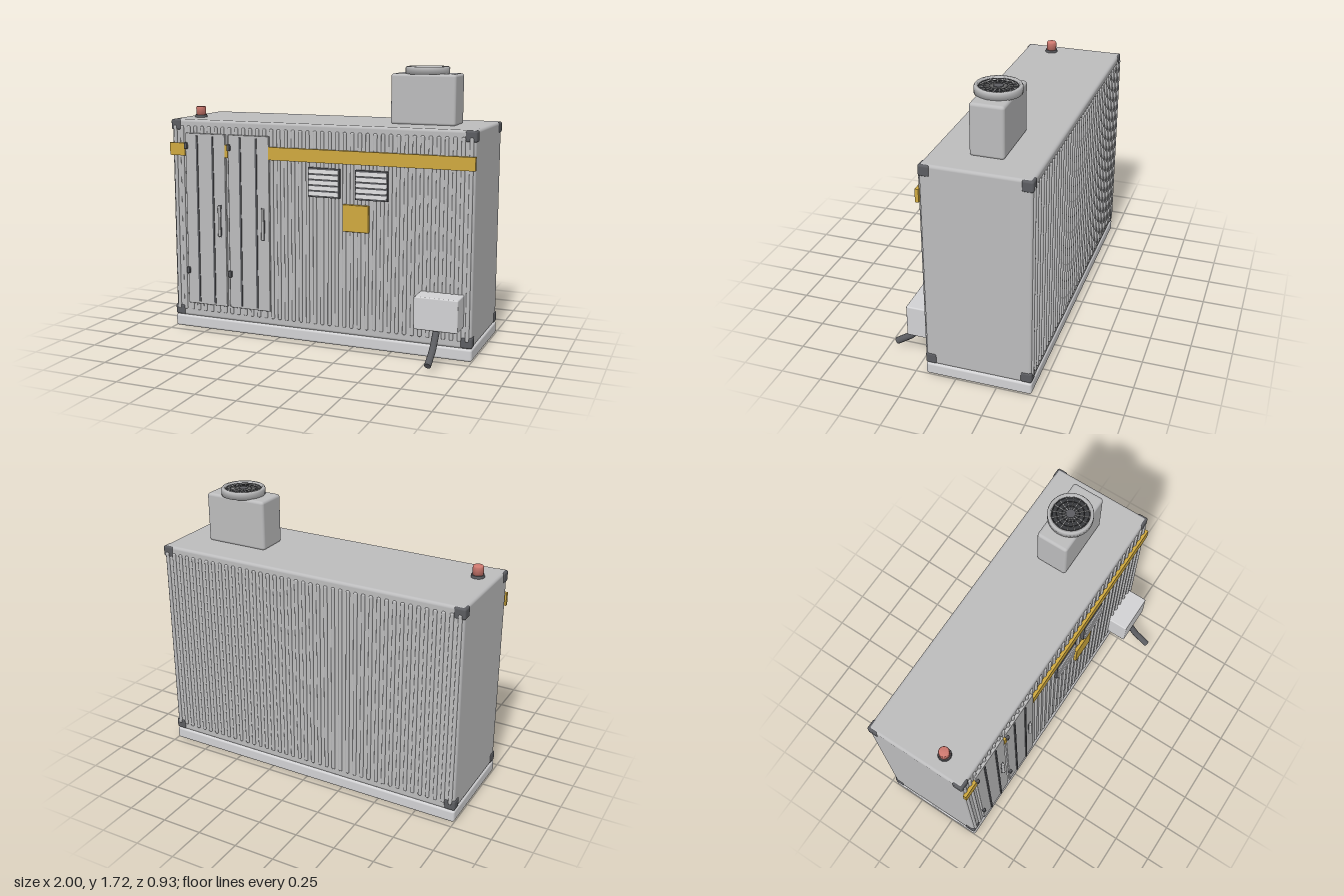
import * as THREE from 'three';
import { RoundedBoxGeometry } from 'three/addons/geometries/RoundedBoxGeometry.js';

const mat = (name, color) => {
  const m = new THREE.MeshStandardMaterial({ color });
  m.name = name;
  return m;
};

export function createModel() {
  const root = new THREE.Group();
  root.name = 'containerUnit';
  const grey = mat('painted grey', 0xbcbcbd);
  const light = mat('light grey', 0xd2d2d4);
  const dark = mat('dark steel', 0x5c5d61);
  const black = mat('grille black', 0x38393c);
  const gold = mat('safety yellow', 0xd0a93f);
  const red = mat('beacon red', 0xd07a70);

  const add = (name, geo, material, parent = root) => {
    const m = new THREE.Mesh(geo, material);
    m.name = name;
    parent.add(m);
    return m;
  };
  // Box given by its limits on each axis, with rounded edges when r > 0
  const block = (name, [x0, x1], [y0, y1], [z0, z1], material, r = 0, parent = root) => {
    const s = [x1 - x0, y1 - y0, z1 - z0];
    const geo = r ? new RoundedBoxGeometry(...s, 3, r) : new THREE.BoxGeometry(...s);
    const m = add(name, geo, material, parent);
    m.position.set((x0 + x1) / 2, (y0 + y1) / 2, (z0 + z1) / 2);
    return m;
  };
  const group = (name) => {
    const g = new THREE.Group();
    g.name = name;
    root.add(g);
    return g;
  };

  // Plinth and main shell
  block('plinth', [-1, 1], [0, 0.078], [-0.46, 0.185], light, 0.015);
  block('shell', [-0.995, 0.995], [0.075, 1.37], [-0.456, 0.18], grey, 0.018);

  // Corner fittings
  const corners = group('cornerFittings');
  for (const sx of [-1, 1])
    for (const y of [0.08, 1.301])
      for (const z of [-0.46, 0.118])
        block('cornerFitting', sx < 0 ? [-1, -0.93] : [0.93, 1], [y, y + 0.067], [z, z + 0.067], dark, 0.012, corners);

  // Corrugation ribs on both long walls
  const ribs = group('wallRibs');
  const ribGeo = new RoundedBoxGeometry(0.023, 1.21, 0.024, 2, 0.009);
  for (let i = 0; i < 41; i++)
    for (const z of [0.178, -0.454])
      add('rib', ribGeo, grey, ribs).position.set(-0.97 + i * 0.0485, 0.725, z);

  // Yellow belt, broken by the doors
  for (const [a, b] of [[-1, -0.89], [-0.607, -0.585], [-0.305, 1]])
    block('belt', [a, b], [1.14, 1.22], [0.183, 0.204], gold);

  // Two doors with seams, hinges and handles
  for (const x of [-0.89, -0.585]) {
    const door = group('door');
    block('doorPanel', [x, x + 0.283], [0.17, 1.285], [0.178, 0.2], grey, 0.004, door);
    for (const dx of [0.085, 0.196])
      block('doorSeam', [x + dx - 0.006, x + dx + 0.006], [0.185, 1.27], [0.196, 0.206], dark, 0, door);
    for (const y of [0.37, 1.183])
      block('hinge', [x - 0.004, x + 0.018], [y, y + 0.042], [0.19, 0.214], dark, 0.005, door);
    block('handle', [x + 0.232, x + 0.248], [0.63, 0.83], [0.196, 0.217], grey, 0.006, door);
    block('handleRecess', [x + 0.228, x + 0.252], [0.626, 0.834], [0.197, 0.202], dark, 0, door);
  }

  // Louvred vents
  for (const x of [-0.037, 0.27]) {
    const vent = group('vent');
    block('ventFrame', [x, x + 0.205], [0.928, 1.108], [0.18, 0.202], dark, 0, vent);
    for (let i = 0; i < 5; i++) {
      const y = 0.936 + i * 0.034;
      const slat = block('slat', [x + 0.006, x + 0.199], [y, y + 0.025], [0.199, 0.208], light, 0, vent);
      slat.rotation.x = -0.25;
    }
  }

  // Sign plate
  block('signPlate', [0.19, 0.357], [0.73, 0.896], [0.185, 0.208], gold, 0.004);

  // Connection box and cable
  block('connectionBox', [0.68, 0.947], [0.207, 0.405], [0.175, 0.32], light, 0.008);
  const cablePath = new THREE.CurvePath();
  const pts = [[0.225, 0.262], [0.105, 0.352], [0.04, 0.45]].map(([y, z]) => new THREE.Vector3(0.811, y, z));
  const bendIn = pts[1].clone().lerp(pts[0], 0.15), bendOut = pts[1].clone().lerp(pts[2], 0.15);
  cablePath.add(new THREE.LineCurve3(pts[0], bendIn));
  cablePath.add(new THREE.QuadraticBezierCurve3(bendIn, pts[1], bendOut));
  cablePath.add(new THREE.LineCurve3(bendOut, pts[2]));
  add('cable', new THREE.TubeGeometry(cablePath, 32, 0.021, 10), dark);
  const cap = add('cableEnd', new THREE.CircleGeometry(0.021, 10), dark);
  cap.position.copy(pts[2]);
  cap.lookAt(pts[2].clone().multiplyScalar(2).sub(pts[1]));

  // Roof housing
  block('fanHousing', [0.405, 0.81], [1.365, 1.673], [-0.238, -0.038], grey, 0.018);

  // Fan collar, grille and hub
  const fan = group('fan');
  fan.position.set(0.607, 1.67, -0.138);
  const collar = [[0.1, 0], [0.134, 0], [0.134, 0.036], [0.128, 0.045], [0.114, 0.045], [0.11, 0.016]];
  const collarGeo = new THREE.LatheGeometry(collar.map(([x, y]) => new THREE.Vector2(x, y)), 40);
  const collarMat = grey.clone();
  collarMat.name = 'collar grey';
  collarMat.side = THREE.DoubleSide;
  add('fanCollar', collarGeo, collarMat, fan);
  add('fanWell', new THREE.CylinderGeometry(0.113, 0.113, 0.018, 40), black, fan).position.y = 0.012;
  for (const r of [0.05, 0.08, 0.107]) {
    const ring = add('grilleRing', new THREE.TorusGeometry(r, 0.003, 6, 40), dark, fan);
    ring.rotation.x = Math.PI / 2;
    ring.position.y = 0.034;
  }
  for (let i = 0; i < 16; i++) {
    const a = (i / 16) * Math.PI * 2;
    const spoke = add('grilleSpoke', new THREE.BoxGeometry(0.083, 0.006, 0.006), grey, fan);
    spoke.position.set(Math.cos(a) * 0.07, 0.032, -Math.sin(a) * 0.07);
    spoke.rotation.y = a;
  }
  add('fanHub', new THREE.CylinderGeometry(0.028, 0.03, 0.022, 24), dark, fan).position.y = 0.028;

  // Warning beacon
  const beacon = group('beacon');
  beacon.position.set(-0.885, 1.37, -0.005);
  add('beaconBase', new THREE.CylinderGeometry(0.038, 0.04, 0.016, 24), dark, beacon).position.y = 0.008;
  const lens = [[0, 0.012], [0.032, 0.012], [0.032, 0.062], [0.028, 0.069], [0, 0.07]];
  add('beaconLens', new THREE.LatheGeometry(lens.map(([x, y]) => new THREE.Vector2(x, y)), 24), red, beacon);

  return root;
}
